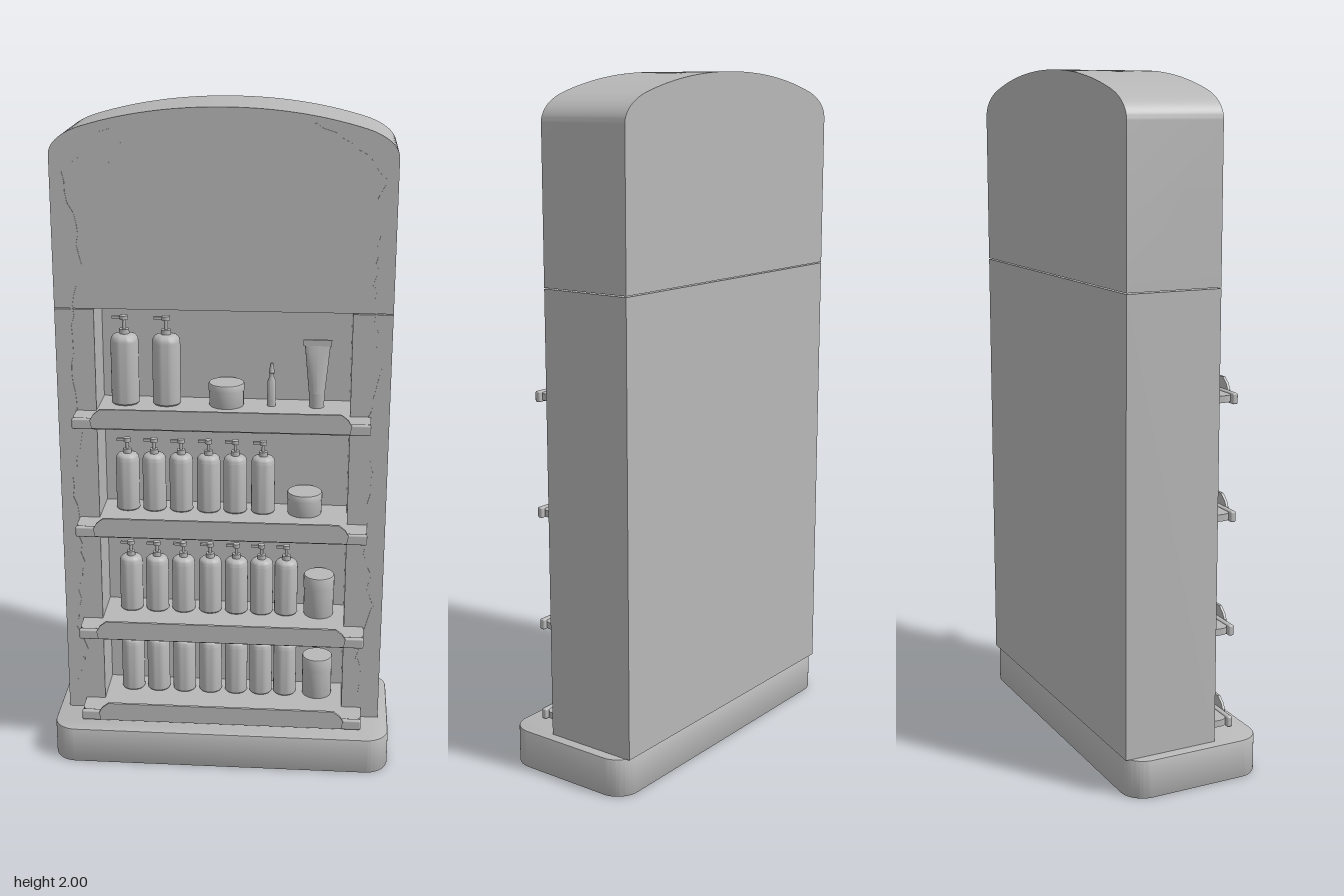
import * as THREE from 'three';
import { toCreasedNormals } from 'three/addons/utils/BufferGeometryUtils.js';
import { RoundedBoxGeometry } from 'three/addons/geometries/RoundedBoxGeometry.js';

const grey = new THREE.MeshStandardMaterial({ color: 0xb8b8b8 });
grey.name = 'matte grey';

function add(parent, name, geometry, x = 0, y = 0, z = 0) {
  const mesh = new THREE.Mesh(geometry, grey);
  mesh.name = name;
  mesh.position.set(x, y, z);
  parent.add(mesh);
  return mesh;
}

function group(parent, name, x = 0, y = 0, z = 0) {
  const g = new THREE.Group();
  g.name = name;
  g.position.set(x, y, z);
  parent.add(g);
  return g;
}

const extrude = (shape, depth, extra = {}) => toCreasedNormals(
  new THREE.ExtrudeGeometry(shape, { depth, bevelEnabled: false, curveSegments: 16, ...extra }), 0.5);

// Plan shapes are drawn as (x, -z) and raised along y
const slab = (shape, height, extra) => extrude(shape, height, extra).rotateX(-Math.PI / 2);

const polygon = points => new THREE.Shape(points.map(p => new THREE.Vector2(...p)));

function roundedRect(w, d, r) {
  const s = new THREE.Shape();
  s.absarc(w - r, d - r, r, 0, Math.PI / 2);
  s.absarc(r - w, d - r, r, Math.PI / 2, Math.PI);
  s.absarc(r - w, r - d, r, Math.PI, Math.PI * 1.5);
  s.absarc(w - r, r - d, r, Math.PI * 1.5, Math.PI * 2);
  s.closePath();
  return s;
}

function headerShape() {
  const s = new THREE.Shape();
  s.moveTo(-0.49, 1.424);
  s.lineTo(0.49, 1.424);
  s.lineTo(0.49, 1.865);
  s.bezierCurveTo(0.49, 1.9, 0.45, 1.93, 0.39, 1.947);
  s.quadraticCurveTo(0.21, 2, 0, 2);
  s.quadraticCurveTo(-0.21, 2, -0.39, 1.947);
  s.bezierCurveTo(-0.45, 1.93, -0.49, 1.9, -0.49, 1.865);
  s.closePath();
  return s;
}

const lathe = (points, segments = 28) => toCreasedNormals(
  new THREE.LatheGeometry(points.map(p => new THREE.Vector2(...p)), segments), 0.6);

// Pump bottle: body with rounded shoulders, collar, stem and spout
function pumpBottle(parent, x, y, z, r, h) {
  const g = group(parent, 'pumpBottle', x, y, z);
  const k = r * 0.55;
  add(g, 'bottleBody', lathe([[0, 0], [r * 0.93, 0], [r, r * 0.1], [r, h - k], [r * 0.95, h - k * 0.55],
    [r * 0.8, h - k * 0.2], [r * 0.5, h], [0, h]]));
  add(g, 'collar', new THREE.CylinderGeometry(r * 0.36, r * 0.36, 0.016, 16), 0, h + 0.006);
  add(g, 'stem', new THREE.CylinderGeometry(r * 0.14, r * 0.14, 0.04, 10), 0, h + r * 0.6);
  const top = h + r * 1.15;
  add(g, 'pumpHead', new THREE.CylinderGeometry(r * 0.3, r * 0.3, 0.012, 16), 0, top);
  add(g, 'spout', new THREE.BoxGeometry(r * 0.85, 0.008, 0.009), -r * 0.45, top);
}

// Jar with a slightly wider lid
function jar(parent, x, y, z, r, h) {
  const g = group(parent, 'jar', x, y, z);
  const lid = h * 0.68;
  add(g, 'jarBody', lathe([[0, 0], [r * 0.95, 0], [r * 0.97, 0.004], [r * 0.97, lid], [0, lid]]));
  add(g, 'jarLid', lathe([[0, lid], [r, lid], [r, h - 0.004], [r * 0.96, h], [0, h]]));
}

// Squeeze tube standing on its cap, pinched flat towards the crimp
function squeezeTube(parent, x, y, z) {
  const g = group(parent, 'squeezeTube', x, y, z);
  add(g, 'tubeCap', new THREE.CylinderGeometry(0.024, 0.022, 0.045, 24), 0, 0.0225);
  const body = new THREE.CylinderGeometry(0.038, 0.024, 0.145, 24, 6);
  const p = body.attributes.position;
  for (let i = 0; i < p.count; i++) {
    const t = p.getY(i) / 0.145 + 0.5;
    p.setZ(i, p.getZ(i) * (1 - 0.9 * t));
  }
  body.computeVertexNormals();
  add(g, 'tubeBody', body, 0, 0.1175);
  add(g, 'crimp', new THREE.BoxGeometry(0.084, 0.018, 0.008), 0, 0.197);
}

// Small bottle with a pointed cap
function dropper(parent, x, y, z) {
  add(parent, 'slimBottle', lathe([[0, 0], [0.013, 0], [0.013, 0.075], [0.007, 0.09],
    [0.007, 0.1], [0.009, 0.103], [0.004, 0.132], [0, 0.134]], 18), x, y, z);
}

// Shelf floor, front rail and raised lip; y is the underside of the rail
function shelf(parent, y) {
  const g = group(parent, 'shelf', 0, y, 0);
  const s = new THREE.Shape();
  s.moveTo(-0.38, 0.085);
  s.lineTo(-0.38, -0.07);
  s.lineTo(-0.435, -0.07);
  s.lineTo(-0.435, -0.12);
  s.quadraticCurveTo(-0.435, -0.147, -0.405, -0.147);
  s.lineTo(0.405, -0.147);
  s.quadraticCurveTo(0.435, -0.147, 0.435, -0.12);
  s.lineTo(0.435, -0.07);
  s.lineTo(0.38, -0.07);
  s.lineTo(0.38, 0.085);
  s.closePath();
  add(g, 'shelfFloor', slab(s, 0.02), 0, 0.008);
  add(g, 'frontRail', new RoundedBoxGeometry(0.87, 0.032, 0.017, 2, 0.005), 0, 0.016, 0.154);
  const lip = polygon([[-0.375, 0.006], [0.375, 0.006], [0.38, 0.03], [0.37, 0.048], [0.35, 0.064],
    [-0.35, 0.064], [-0.37, 0.048], [-0.38, 0.03]]);
  add(g, 'frontLip', extrude(lip, 0.008), 0, 0, 0.161);
}

// Thin jagged ribbon along a rough path on the front face
function crack(parent, path, seed) {
  let n = seed;
  const rand = () => (n = (n * 16807) % 2147483647) / 2147483647 - 0.5;
  const left = [], right = [];
  for (let i = 0; i < path.length - 1; i++) {
    const [ax, ay] = path[i], [bx, by] = path[i + 1];
    const steps = Math.max(2, Math.round(Math.hypot(bx - ax, by - ay) / 0.03));
    for (let j = 0; j < steps; j++) {
      const t = j / steps, x = ax + (bx - ax) * t + rand() * 0.014, y = ay + (by - ay) * t;
      const w = 0.002 + Math.abs(rand()) * 0.004;
      left.push([x - w, y - w * 0.4]);
      right.unshift([x + w, y + w * 0.4]);
    }
  }
  const geo = new THREE.ExtrudeGeometry(polygon([...left, ...right]), { depth: 0.003, bevelEnabled: false });
  add(parent, 'crackOrnament', geo, 0, 0, 0.0695);
}

export function createModel() {
  const model = new THREE.Group();
  model.name = 'displayStand';

  // Plinth with rounded corners and softened edges
  add(model, 'base', slab(roundedRect(0.515, 0.208, 0.065), 0.105,
    { bevelEnabled: true, bevelSize: 0.005, bevelThickness: 0.005, bevelSegments: 2 }), 0, 0.005);

  // Hollow cabinet, open to the front
  add(model, 'cabinet', slab(polygon([[-0.49, -0.07], [-0.375, -0.07], [-0.375, 0.08], [0.375, 0.08],
    [0.375, -0.07], [0.49, -0.07], [0.49, 0.215], [-0.49, 0.215]]), 1.306), 0, 0.115);

  // Arched header
  add(model, 'header', extrude(headerShape(), 0.285), 0, 0, -0.215);

  // Shelves and products
  const levels = [1.085, 0.743, 0.402, 0.12];
  levels.forEach(y => shelf(model, y));
  const floor = levels.map(y => y + 0.028);
  const z = -0.02;

  const products = group(model, 'products');
  for (const x of [-0.3, -0.175]) pumpBottle(products, x, floor[0], z, 0.042, 0.215);
  jar(products, 0.005, floor[0], z, 0.054, 0.07);
  dropper(products, 0.14, floor[0], z);
  squeezeTube(products, 0.275, floor[0], z);

  const row = [-0.295, -0.213, -0.13, -0.046, 0.036, 0.115, 0.192];
  for (let i = 0; i < 6; i++) pumpBottle(products, row[i] - 0.004 - (i > 4 ? -0.006 : 0), floor[1], z, 0.036, 0.18);
  jar(products, 0.245, floor[1], z, 0.054, 0.069);
  for (const level of [2, 3]) {
    for (const x of row) pumpBottle(products, x, floor[level], z, 0.036, 0.18);
    jar(products, 0.295, floor[level], z, 0.048, 0.134);
  }

  // Cracked edging up both sides of the front
  const cracks = group(model, 'cracks');
  crack(cracks, [[-0.455, 0.2], [-0.43, 0.32], [-0.46, 0.4], [-0.435, 0.62], [-0.455, 0.9], [-0.42, 1.05],
    [-0.45, 1.2], [-0.44, 1.4], [-0.41, 1.55], [-0.43, 1.7], [-0.46, 1.82], [-0.38, 1.88], [-0.34, 1.93], [-0.26, 1.96]], 7);
  crack(cracks, [[-0.32, 1.84], [-0.28, 1.87], [-0.3, 1.93]], 19);
  crack(cracks, [[0.435, 0.2], [0.42, 0.35], [0.455, 0.5], [0.43, 0.7], [0.445, 0.9], [0.43, 1.08],
    [0.46, 1.25], [0.43, 1.45], [0.445, 1.65], [0.43, 1.75], [0.46, 1.8], [0.4, 1.87], [0.33, 1.92], [0.23, 1.97]], 31);

  return model;
}
